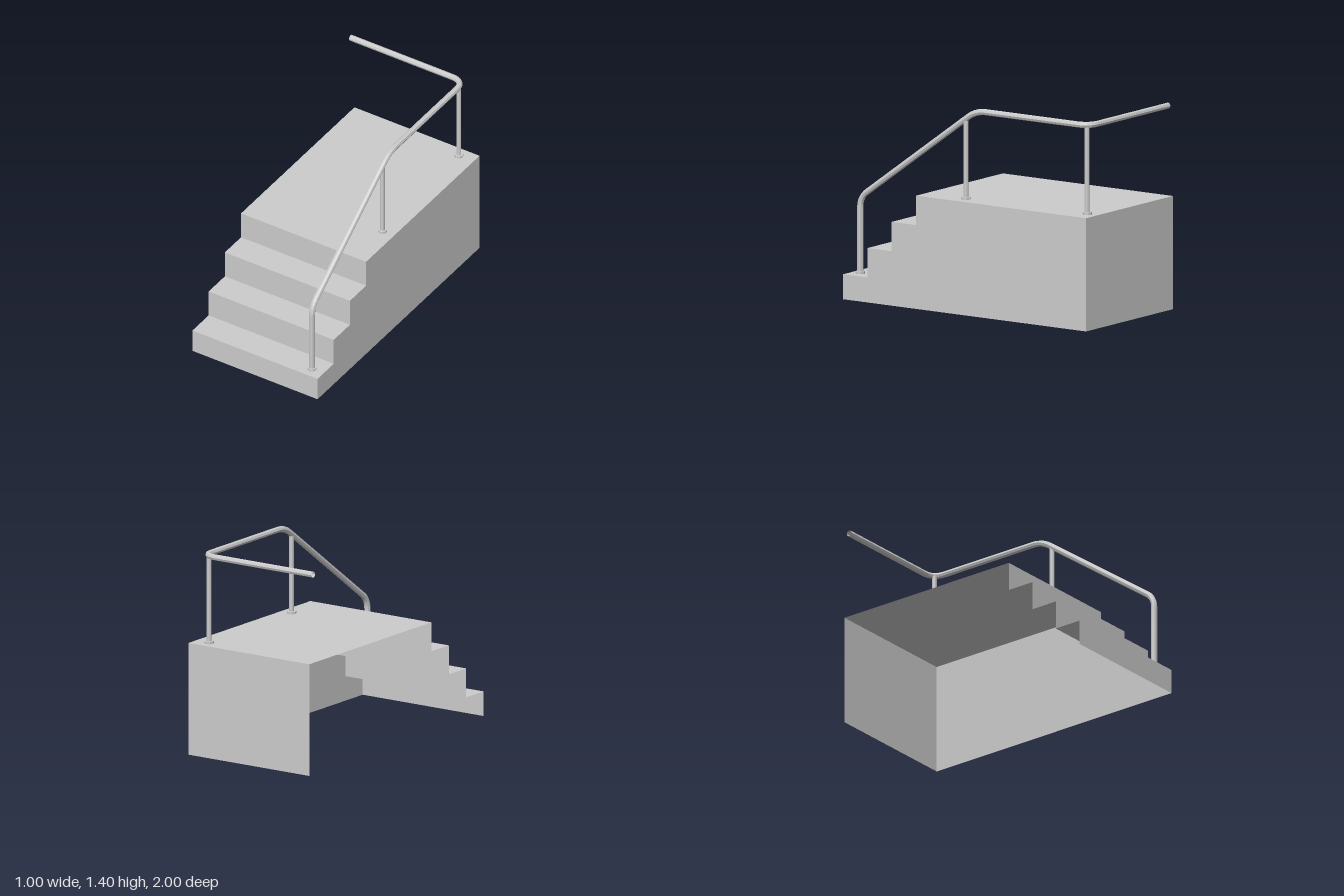
import * as THREE from 'three';

const HALF = 0.497, TOP = 0.77, RAIL_X = 0.405, RAIL_Y = 1.379;

const material = new THREE.MeshStandardMaterial({ color: 0xcccccc, flatShading: true, side: THREE.DoubleSide });

function part(name, geometry, parent) {
  const mesh = new THREE.Mesh(geometry, material);
  mesh.name = name;
  parent.add(mesh);
  return mesh;
}

// Step outline in (z, y): up the treads, over the landing and down the back
function stepProfile() {
  const pts = [[1, 0]];
  for (let i = 0; i < 4; i++) {
    const y = 0.17 + i * 0.2;
    pts.push([1 - i * 0.2, y], [i < 3 ? 0.8 - i * 0.2 : -1, y]);
  }
  pts.push([-1, 0]);
  return pts;
}

// Open shell made by sweeping the outline across the width
function sweptShell(pts) {
  const pos = [];
  for (let i = 0; i < pts.length - 1; i++) {
    const [za, ya] = pts[i], [zb, yb] = pts[i + 1];
    pos.push(-HALF, ya, za, HALF, ya, za, HALF, yb, zb);
    pos.push(-HALF, ya, za, HALF, yb, zb, -HALF, yb, zb);
  }
  const g = new THREE.BufferGeometry();
  g.setAttribute('position', new THREE.Float32BufferAttribute(pos, 3));
  g.computeVertexNormals();
  return g;
}

// Straight runs joined by rounded bends at the inner corners
function roundedPath(corners, bend) {
  const path = new THREE.CurvePath();
  let from = corners[0];
  for (let i = 1; i < corners.length - 1; i++) {
    const c = corners[i];
    const toward = (p, d) => c.clone().add(p.clone().sub(c).setLength(d));
    const a = toward(corners[i - 1], bend[i - 1]), b = toward(corners[i + 1], bend[i - 1]);
    path.add(new THREE.LineCurve3(from, a));
    path.add(new THREE.QuadraticBezierCurve3(a, c, b));
    from = b;
  }
  path.add(new THREE.LineCurve3(from, corners[corners.length - 1]));
  return path;
}

export function createModel() {
  const model = new THREE.Group();
  model.name = 'entranceSteps';

  // Steps, landing and back wall
  const pts = stepProfile();
  part('stepsAndLanding', sweptShell(pts), model);

  // Side wall under the railing; the other side and the bottom stay open
  const outline = new THREE.Shape(pts.map(([z, y]) => new THREE.Vector2(-z, y)));
  const wall = part('sideWall', new THREE.ShapeGeometry(outline).rotateY(Math.PI / 2), model);
  wall.position.x = HALF;

  // Handrail: front post, slope, level run and return across the back
  const railing = new THREE.Group();
  railing.name = 'railing';
  model.add(railing);
  const path = roundedPath([
    new THREE.Vector3(RAIL_X, 0.17, 0.925),
    new THREE.Vector3(RAIL_X, 0.69, 0.925),
    new THREE.Vector3(RAIL_X, RAIL_Y, -0.03),
    new THREE.Vector3(RAIL_X, RAIL_Y, -0.957),
    new THREE.Vector3(-0.5, RAIL_Y, -0.957),
  ], [0.07, 0.08, 0.1]);
  part('handrail', new THREE.TubeGeometry(path, 160, 0.021, 8, false), railing);

  // Upright posts
  const posts = [[RAIL_X, 0.055, 1.315], [0.38, -0.925, RAIL_Y]];
  for (const [x, z, top] of posts) {
    const post = part('post', new THREE.CylinderGeometry(0.017, 0.017, top - TOP, 8), railing);
    post.position.set(x, (top + TOP) / 2, z);
  }

  // Floor flanges
  for (const [x, y, z] of [[RAIL_X, 0.17, 0.925], ...posts.map(([px, pz]) => [px, TOP, pz])]) {
    const flange = part('flange', new THREE.CylinderGeometry(0.032, 0.032, 0.016, 8), railing);
    flange.position.set(x, y + 0.008, z);
  }
  return model;
}
